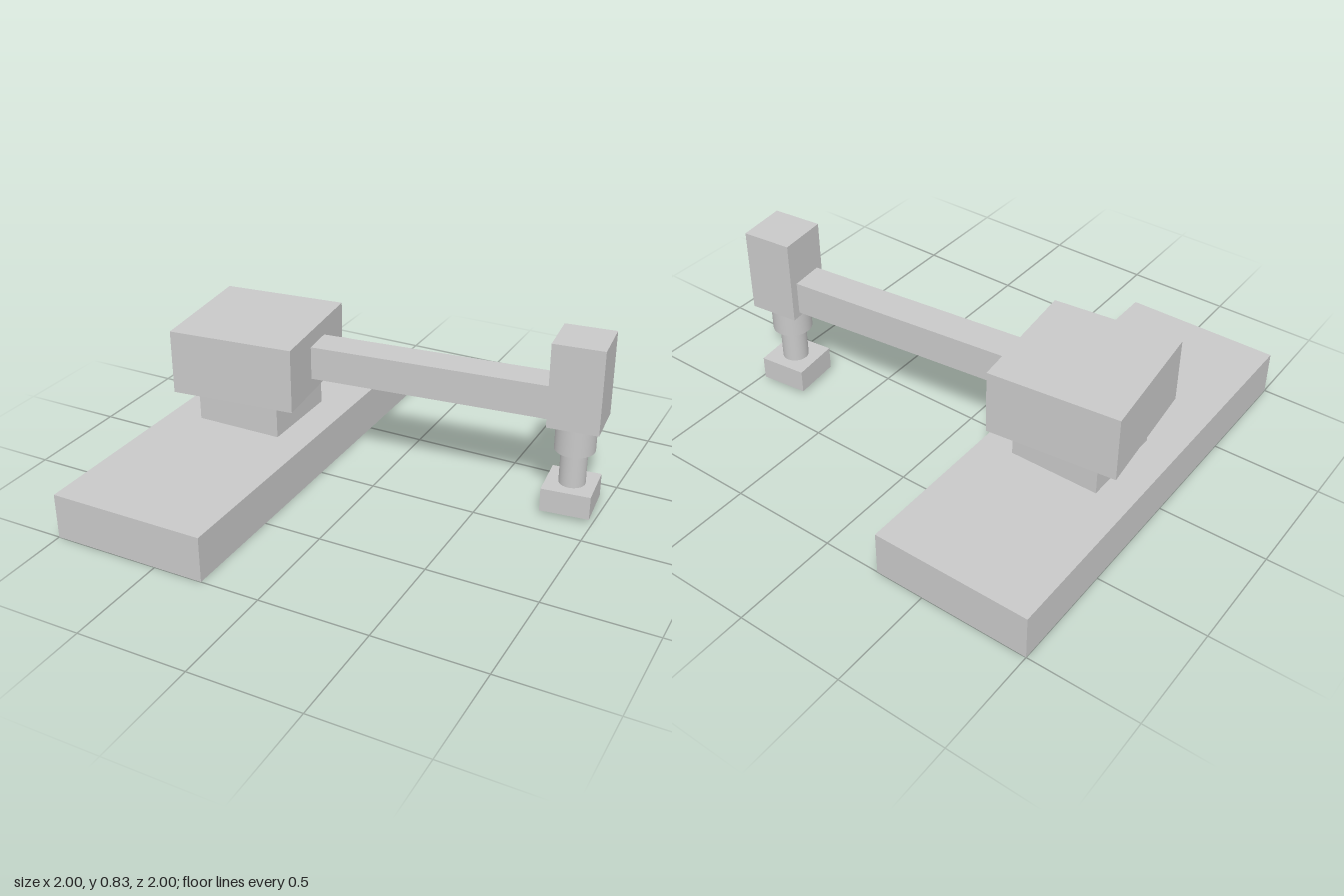
import * as THREE from 'three';

export function createModel() {
  const model = new THREE.Group();
  const grey = new THREE.MeshStandardMaterial({ color: 0xc8c8c8 });
  grey.name = 'light grey';
  const swing = 0.107; // yaw shared by the swinging parts

  const add = (name, geometry, x, y, z, yaw = 0) => {
    const mesh = new THREE.Mesh(geometry, grey);
    mesh.name = name;
    mesh.position.set(x, y, z);
    mesh.rotation.y = yaw;
    model.add(mesh);
  };
  // Parts are given by their bottom and top heights
  const box = (name, w, d, y0, y1, x, z, yaw) =>
    add(name, new THREE.BoxGeometry(w, y1 - y0, d), x, (y0 + y1) / 2, z, yaw);
  const cylinder = (name, r, y0, y1, x, z) =>
    add(name, new THREE.CylinderGeometry(r, r, y1 - y0, 48), x, (y0 + y1) / 2, z);

  // Fixed base and pedestal
  box('base', 0.73, 2, 0, 0.211, -0.635, 0);
  box('pedestal', 0.418, 0.41, 0.211, 0.389, -0.634, -0.076);

  // Swinging housing, arm and head
  box('housing', 0.59, 0.59, 0.389, 0.691, -0.634, -0.075, swing);
  box('arm', 1.106, 0.154, 0.459, 0.616, 0.207, -0.169, swing);
  box('head', 0.23, 0.228, 0.437, 0.829, 0.872, -0.242, swing);

  // Spindle below the head
  cylinder('collar', 0.091, 0.301, 0.437, 0.868, -0.238);
  cylinder('rod', 0.06, 0.134, 0.301, 0.867, -0.238);
  box('foot', 0.223, 0.223, 0.023, 0.134, 0.864, -0.238, swing);

  return model;
}
